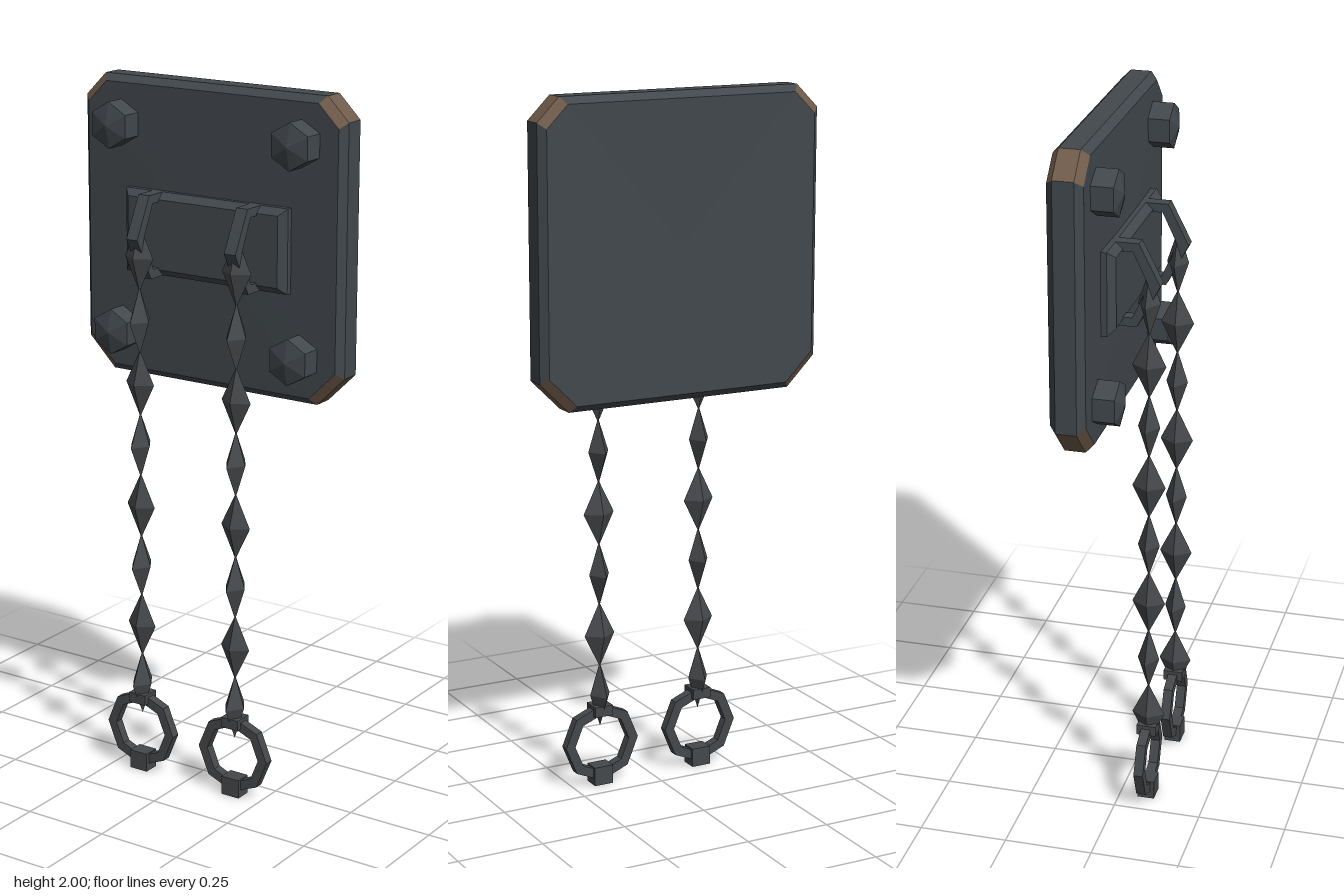
import * as THREE from 'three';

const flat = (name, color) => new THREE.MeshStandardMaterial({ name, color, flatShading: true });

// Stacks scaled copies of an outline along z and closes both ends with a fan.
// layers: [z, scaleX, scaleY]; sides listed in accent() get material 1.
function loft(outline, cy, layers, backZ, frontZ, accent = () => false) {
  const rings = layers.map(([z, sx, sy]) => outline.map(([x, y]) => [x * sx, cy + (y - cy) * sy, z]));
  const n = outline.length, sets = [[], []];
  for (let i = 0; i < n; i++) {
    const j = (i + 1) % n, out = sets[accent(i) ? 1 : 0];
    for (let k = 0; k < rings.length - 1; k++) {
      const a = rings[k][i], b = rings[k][j], c = rings[k + 1][j], d = rings[k + 1][i];
      out.push(...a, ...b, ...c, ...a, ...c, ...d);
    }
    const back = rings[0], front = rings[rings.length - 1];
    sets[0].push(0, cy, backZ, ...back[j], ...back[i]);
    sets[0].push(0, cy, frontZ, ...front[i], ...front[j]);
  }
  const geo = new THREE.BufferGeometry();
  geo.setAttribute('position', new THREE.Float32BufferAttribute([...sets[0], ...sets[1]], 3));
  geo.addGroup(0, sets[0].length / 3, 0);
  geo.addGroup(sets[0].length / 3, sets[1].length / 3, 1);
  geo.computeVertexNormals();
  return geo;
}

export function createModel() {
  const root = new THREE.Group();
  root.name = 'wallShackles';
  const iron = flat('darkIron', 0x42484d);
  const rust = flat('rustyBrown', 0x705c4b);
  const steel = flat('chainSteel', 0x45484b);

  const add = (parent, name, geo, mat, x = 0, y = 0, z = 0) => {
    const mesh = new THREE.Mesh(geo, mat);
    mesh.name = name;
    mesh.position.set(x, y, z);
    parent.add(mesh);
    return mesh;
  };

  // Wall plate with cut corners, bevelled rims and slightly raised front
  const plateOutline = [
    [0.34, 1.155], [0.425, 1.24], [0.425, 1.935], [0.36, 2],
    [-0.36, 2], [-0.425, 1.935], [-0.425, 1.24], [-0.34, 1.155],
  ];
  const plate = loft(plateOutline, 1.578,
    [[-0.128, 0.955, 0.955], [-0.108, 1, 1], [-0.05, 1, 1], [-0.03, 0.955, 0.955]],
    -0.122, -0.021, i => i % 2 === 0);
  add(root, 'wallPlate', plate, [iron, rust]);

  // Raised backing block behind the staples
  const blockOutline = [[0.265, 1.46], [0.265, 1.695], [-0.265, 1.695], [-0.265, 1.46]];
  const block = loft(blockOutline, 1.578,
    [[-0.03, 1, 1], [-0.01, 1, 1], [0.01, 0.925, 0.84]], -0.03, 0.01);
  add(root, 'backingBlock', block, [iron, iron]);

  // Hexagonal bolts with pointed heads
  const boltProfile = [[0.065, -0.035], [0.065, 0.032], [0, 0.047]].map(p => new THREE.Vector2(...p));
  const bolt = new THREE.LatheGeometry(boltProfile, 6).rotateX(Math.PI / 2);
  for (const x of [-0.293, 0.293]) for (const y of [1.285, 1.87]) add(root, 'bolt', bolt, iron, x, y);

  // Angular staple, drawn as (z, y) and extruded across x
  const stapleShape = new THREE.Shape([
    [-0.01, 1.695], [0.054, 1.695], [0.112, 1.58], [0.048, 1.46], [-0.01, 1.46], [-0.01, 1.485],
    [0.035, 1.485], [0.08, 1.58], [0.038, 1.67], [-0.01, 1.67],
  ].map(p => new THREE.Vector2(...p)));
  const staple = new THREE.ExtrudeGeometry(stapleShape, { depth: 0.036, bevelEnabled: false })
    .translate(0, 0, -0.018).rotateY(-Math.PI / 2).scale(1, 1, 1);

  // Octagonal cuff
  const octagon = r => Array.from({ length: 8 }, (_, i) =>
    new THREE.Vector2(r * Math.cos(i * Math.PI / 4), r * Math.sin(i * Math.PI / 4)));
  const cuffShape = new THREE.Shape(octagon(0.115));
  cuffShape.holes.push(new THREE.Path(octagon(0.086)));
  const cuff = new THREE.ExtrudeGeometry(cuffShape, { depth: 0.027, bevelEnabled: false })
    .translate(0, 0, -0.0135);

  const linkGeo = new THREE.OctahedronGeometry(1);
  for (const x of [-0.16, 0.16]) {
    const chain = new THREE.Group();
    chain.name = x > 0 ? 'leftChain' : 'rightChain';
    chain.position.set(x, 0, 0);
    root.add(chain);

    // The shape's x runs along +z after the turn
    add(chain, 'staple', staple, iron);

    // Diamond links, every second one turned a quarter
    for (let i = 0; i < 8; i++) {
      const wide = i % 2 === 0;
      const link = add(chain, 'chainLink', linkGeo, steel, 0, 1.525 - i * 0.1795, 0.078);
      link.scale.set(wide ? 0.047 : 0.031, 0.096, wide ? 0.031 : 0.047);
    }

    add(chain, 'cuff', cuff, steel, 0, 0.125, 0.077);
    add(chain, 'cuffHinge', new THREE.BoxGeometry(0.056, 0.03, 0.056), steel, 0, 0.224, 0.078);
    add(chain, 'cuffLock', new THREE.BoxGeometry(0.058, 0.055, 0.048), steel, 0, 0.0275, 0.078);
  }
  return root;
}
